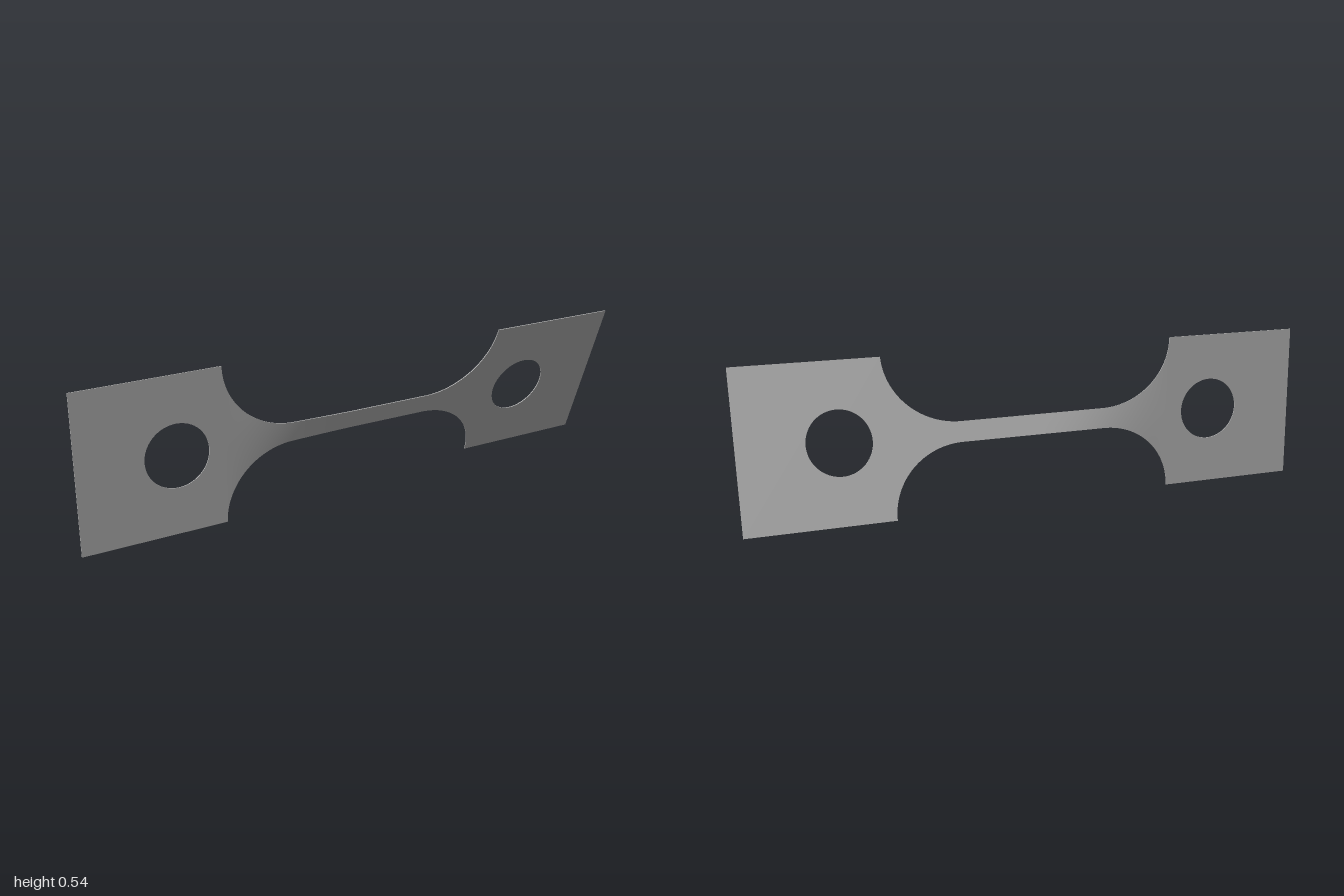
import * as THREE from 'three';

const HALF = 0.27;       // half height of the end plates
const NECK = 0.035;      // half height of the slim bar
const THICK = 0.003;
const INNER = 0.508;     // inner edge of the end plates
const FILLET = 0.25;     // fillet length along x
const TILT_A = 0.01, TILT_B = 0.336;

// Twist angle along the strip: nearly upright at -x, tilted at +x
function twist(x) {
  const t = THREE.MathUtils.smoothstep(x, -0.5, 0.0);
  return TILT_A + (TILT_B - TILT_A) * t;
}

// Flat square plate with a round hole
function endPlate(side, material) {
  const a = side < 0 ? -1 : INNER;
  const b = side < 0 ? -INNER : 1;
  const shape = new THREE.Shape();
  shape.moveTo(a, -HALF);
  shape.lineTo(b, -HALF);
  shape.lineTo(b, HALF);
  shape.lineTo(a, HALF);
  shape.closePath();
  const hole = new THREE.Path();
  hole.absarc(side * 0.67, 0, 0.109, 0, Math.PI * 2, true);
  shape.holes.push(hole);
  const geo = new THREE.ExtrudeGeometry(shape, { depth: THICK, bevelEnabled: false, curveSegments: 32 });
  geo.translate(0, 0, -THICK / 2);
  geo.rotateX(side < 0 ? TILT_A : TILT_B);
  const mesh = new THREE.Mesh(geo, material);
  mesh.name = side < 0 ? 'rightEndPlate' : 'leftEndPlate';
  return mesh;
}

// Filleted bar between the plates, twisted about its long axis
function twistedNeck(material) {
  const geo = new THREE.BoxGeometry(2, 2, THICK, 96, 8, 1);
  const p = geo.attributes.position;
  for (let i = 0; i < p.count; i++) {
    const s = p.getX(i), u = Math.abs(s), side = Math.sign(s);
    let x, h;
    if (u < 1 / 3) {
      x = s * 3 * (INNER - FILLET);
      h = NECK;
    } else {
      const angle = (u - 1 / 3) * 1.5 * Math.PI / 2;
      x = side * (INNER - FILLET + FILLET * Math.sin(angle));
      h = HALF - (HALF - NECK) * Math.cos(angle);
    }
    const y = p.getY(i) * h, z = p.getZ(i), a = twist(x);
    p.setXYZ(i, x, y * Math.cos(a) - z * Math.sin(a), y * Math.sin(a) + z * Math.cos(a));
  }
  geo.computeVertexNormals();
  const mesh = new THREE.Mesh(geo, material);
  mesh.name = 'twistedNeck';
  return mesh;
}

export function createModel() {
  const steel = new THREE.MeshStandardMaterial({ color: 0xb4b4b4 });
  steel.name = 'plain grey';
  const group = new THREE.Group();
  group.name = 'twistedStrip';
  group.add(endPlate(-1, steel), twistedNeck(steel), endPlate(1, steel));
  group.children.forEach((m) => { m.position.y = HALF; });
  return group;
}
